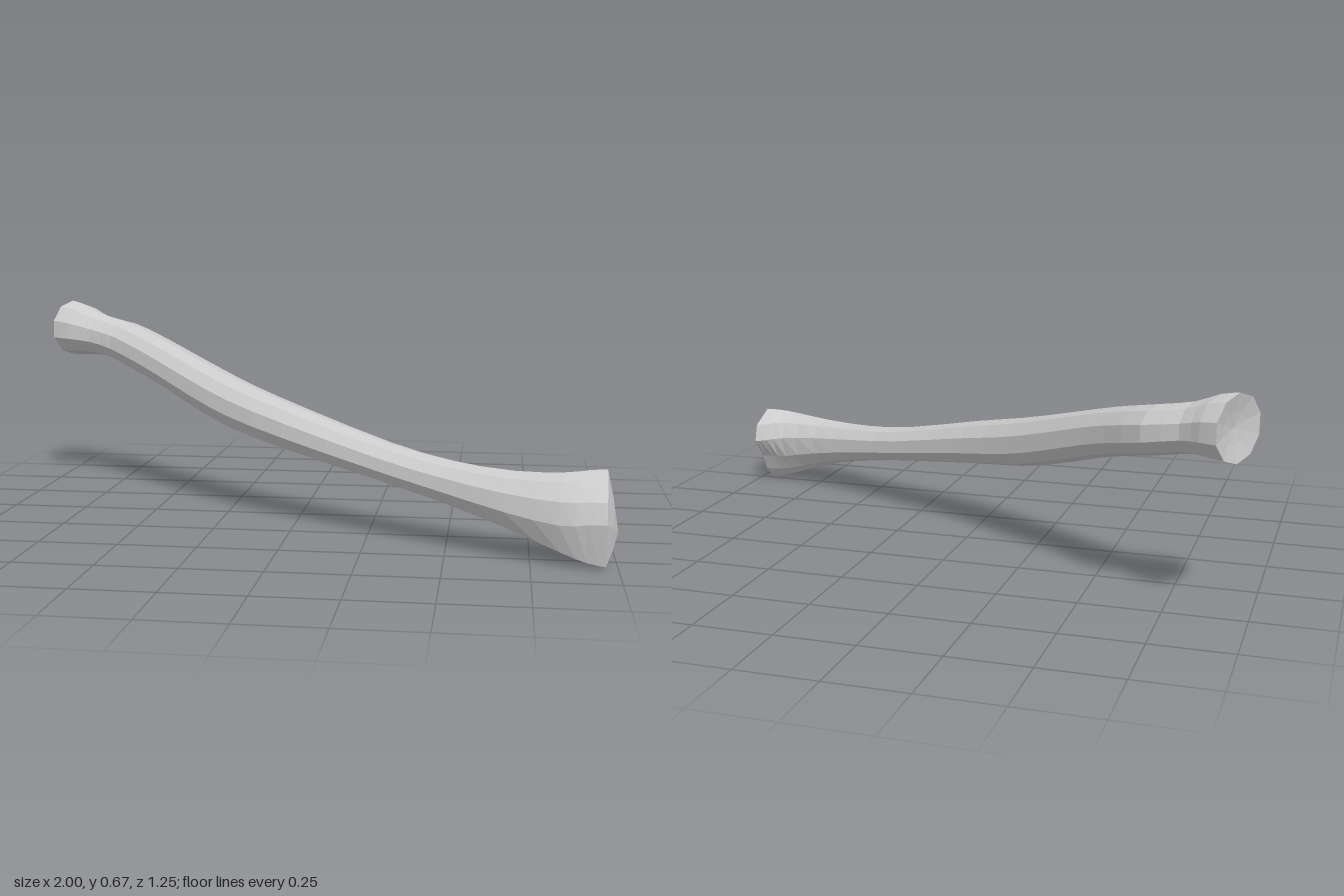
import * as THREE from 'three';

// Cross-section outlines (front-back, up), all in the same order of corners
const SHAFT = [[-1, .35], [-1, -.35], [-.62, -.82], [0, -1], [.66, -.82], [1, -.25], [.94, .38], [.58, .82], [0, 1], [-.66, .84]];
const DISTAL = [[-1, .23], [-.52, -.28], [-.26, -.71], [.09, -1], [.78, -.93], [1, 0], [.87, .45], [.43, .88], [-.09, 1], [-.87, .67]];
const ROUND = SHAFT.map((_, j) => {
  const a = THREE.MathUtils.degToRad(162 + 36 * j);
  return [Math.cos(a) * 1.03, Math.sin(a) * 1.03];
});
const SIDES = SHAFT.length;

// Stations: x, y, z, half width, half height, yaw, roundness, distal flare
const STATIONS = [
  [-.95, .572, -.54, .1, .098, .52, 1, 0],
  [-.895, .567, -.515, .093, .091, .5, 1, 0],
  [-.82, .552, -.482, .073, .074, .45, .8, 0],
  [-.718, .53, -.443, .08, .075, .6, .2, 0],
  [-.6, .495, -.345, .077, .076, .7, 0, 0],
  [-.5, .461, -.262, .076, .077, .7, 0, 0],
  [-.35, .405, -.143, .079, .081, .67, 0, 0],
  [-.2, .356, -.028, .081, .081, .63, 0, 0],
  [0, .308, .107, .078, .074, .56, 0, 0],
  [.3, .24, .27, .07, .062, .49, 0, 0],
  [.5, .203, .375, .07, .066, .47, 0, 0],
  [.7, .17, .466, .08, .088, .42, 0, .1],
  [.85, .147, .512, .096, .119, .25, 0, .4],
  [.92, .141, .512, .108, .133, .12, 0, .85],
  [.968, .138, .51, .115, .137, .05, 0, 1],
];

// Smooth value of one station column between stations i and i + 1
function blend(i, t, k) {
  const at = (n) => STATIONS[THREE.MathUtils.clamp(n, 0, STATIONS.length - 1)][k];
  const [a, b, c, d] = [at(i - 1), at(i), at(i + 1), at(i + 2)];
  const m0 = (c - a) / 2, m1 = (d - b) / 2;
  return b + t * m0 + t * t * (3 * (c - b) - 2 * m0 - m1) + t * t * t * (2 * (b - c) + m0 + m1);
}

function makeRing([x, y, z, hw, hh, yaw, round, flare]) {
  return SHAFT.map((s, j) => {
    const mix = (k) => s[k] + (ROUND[j][k] - s[k]) * round + (DISTAL[j][k] - s[k]) * flare;
    const p = mix(0) * hw, q = mix(1) * hh;
    return new THREE.Vector3(x - Math.sin(yaw) * p, y + q, z + Math.cos(yaw) * p);
  });
}

// Ring of points between a rim and a centre, each pushed along x by a rule
const innerRing = (rim, centre, t, push) =>
  rim.map((v, j) => v.clone().lerp(centre, t).add(new THREE.Vector3(push(j), 0, 0)));

function loft(rings) {
  const points = rings.flat();
  const positions = points.flatMap((v) => [v.x, v.y, v.z]);
  const index = [];
  for (let i = 0; i < rings.length - 1; i++) {
    for (let j = 0; j < SIDES; j++) {
      const a = i * SIDES + j, b = i * SIDES + (j + 1) % SIDES;
      index.push(a, a + SIDES, b, b, a + SIDES, b + SIDES);
    }
  }
  const geometry = new THREE.BufferGeometry();
  geometry.setAttribute('position', new THREE.Float32BufferAttribute(positions, 3));
  geometry.setIndex(index);
  geometry.computeVertexNormals();
  return geometry;
}

export function createModel() {
  const material = new THREE.MeshStandardMaterial({ color: 0xcccccc, flatShading: true });
  const group = new THREE.Group();
  group.name = 'forearmBone';
  const add = (name, rings) => {
    const mesh = new THREE.Mesh(loft(rings), material);
    mesh.name = name;
    group.add(mesh);
  };

  // Shaft with neck, bump and flared lower end
  const rings = [];
  for (let i = 0; i < STATIONS.length - 1; i++) {
    for (let s = 0; s < 2; s++) rings.push(makeRing(STATIONS[i].map((_, k) => blend(i, s / 2, k))));
  }
  rings.push(makeRing(STATIONS[STATIONS.length - 1]));
  add('shaft', rings);

  // Shallow dished face of the round head
  const headRim = rings[0];
  const headCentre = new THREE.Vector3(-.935, .572, -.532);
  add('headFace', [headRim.map(() => headCentre), innerRing(headRim, headCentre, .5, () => .002), headRim]);

  // Uneven joint face: a raised point with a notch at the upper back corner
  const endRim = rings[rings.length - 1];
  const peak = new THREE.Vector3(1, .1, .535);
  const notch = (j) => (j === 0 || j === 9 ? -.03 : .003);
  add('jointFace', [endRim, innerRing(endRim, peak, .45, notch), endRim.map(() => peak)]);

  return group;
}
